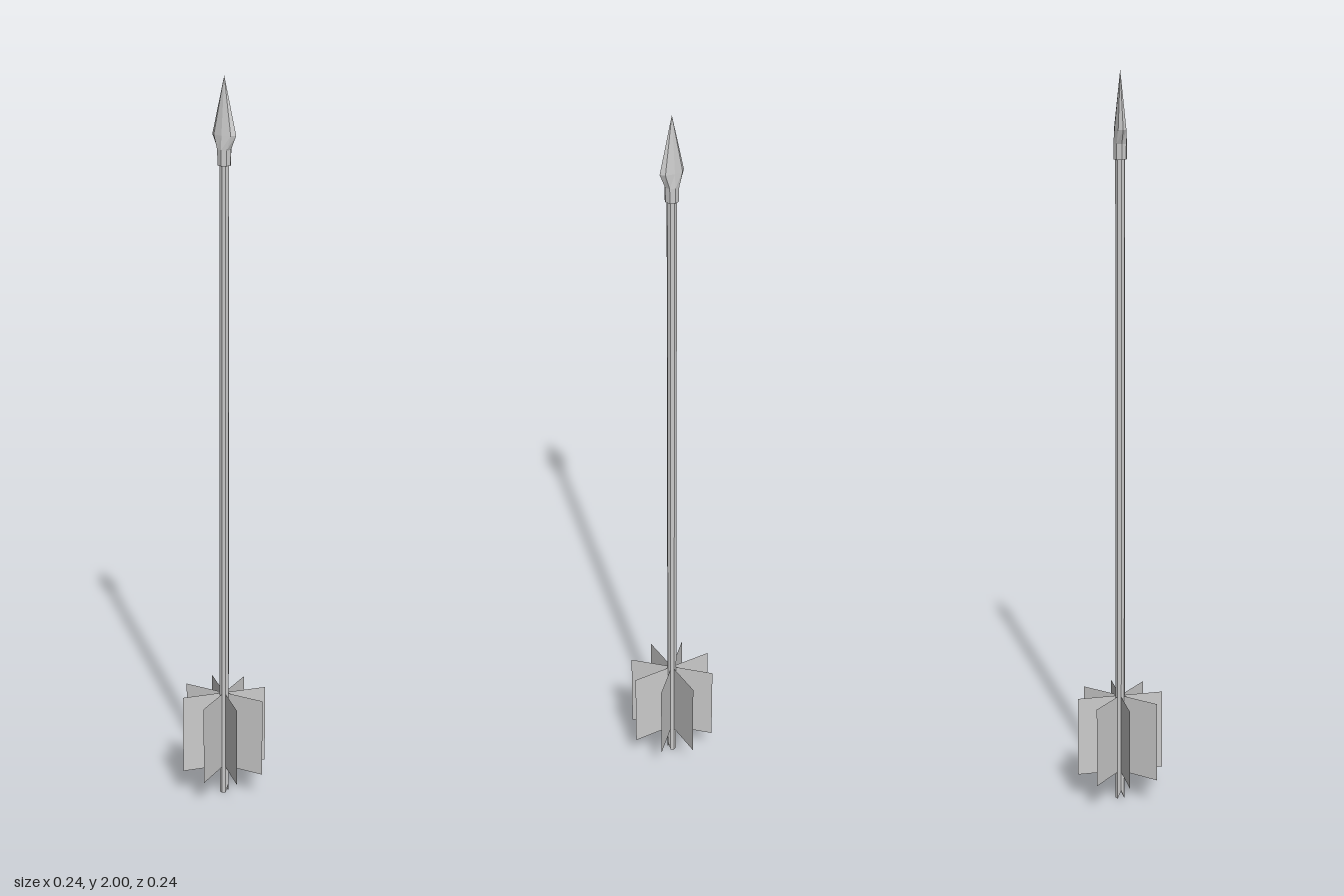
import * as THREE from 'three';

const SIDES = 8;
const grey = new THREE.MeshStandardMaterial({ color: 0xcccccc, flatShading: true });
const thin = new THREE.MeshStandardMaterial({ color: 0xcccccc, flatShading: true, side: THREE.DoubleSide });

// Closed faceted skin through elliptical rings [y, halfWidthX, halfWidthZ], bottom to top
function loft(rings) {
  const pos = [], index = [];
  for (const [y, rx, rz] of rings) {
    for (let i = 0; i < SIDES; i++) {
      const a = (i / SIDES) * Math.PI * 2;
      pos.push(Math.sin(a) * rx, y, Math.cos(a) * rz);
    }
  }
  for (let r = 0; r < rings.length - 1; r++) {
    for (let i = 0; i < SIDES; i++) {
      const a = r * SIDES + i, b = r * SIDES + (i + 1) % SIDES;
      index.push(a, b, b + SIDES, a, b + SIDES, a + SIDES);
    }
  }
  const geo = new THREE.BufferGeometry();
  geo.setAttribute('position', new THREE.Float32BufferAttribute(pos, 3));
  geo.setIndex(index);
  geo.computeVertexNormals();
  return geo;
}

export function createModel() {
  const group = new THREE.Group();
  const add = (name, geo, mat) => {
    const mesh = new THREE.Mesh(geo, mat);
    mesh.name = name;
    group.add(mesh);
    return mesh;
  };

  // Shaft, its lower end pinched up along x into a string notch
  const shaftGeo = new THREE.CylinderGeometry(0.013, 0.013, 1.79, SIDES);
  shaftGeo.translate(0, 0.895, 0);
  const p = shaftGeo.attributes.position;
  for (let i = 0; i < p.count; i++) {
    if (p.getY(i) < 0.01 && Math.abs(p.getZ(i)) < 0.004) p.setY(i, 0.025);
  }
  shaftGeo.computeVertexNormals();
  add('shaft', shaftGeo, grey);

  // Arrowhead: round socket, neck, flattened blade and point
  add('arrowhead', loft([
    [1.775, 0, 0],
    [1.775, 0.018, 0.018],
    [1.815, 0.019, 0.018],
    [1.852, 0.034, 0.015],
    [2, 0, 0],
  ]), grey);

  // Fletching: four thin sheets crossing on the shaft axis
  const fletching = new THREE.Group();
  fletching.name = 'fletching';
  for (let i = 0; i < 4; i++) {
    const vane = new THREE.Mesh(new THREE.PlaneGeometry(0.238, 0.225), thin);
    vane.name = 'vanePair' + (i + 1);
    vane.position.y = 0.1925;
    vane.rotation.y = (i * Math.PI) / 4;
    fletching.add(vane);
  }
  group.add(fletching);

  return group;
}
